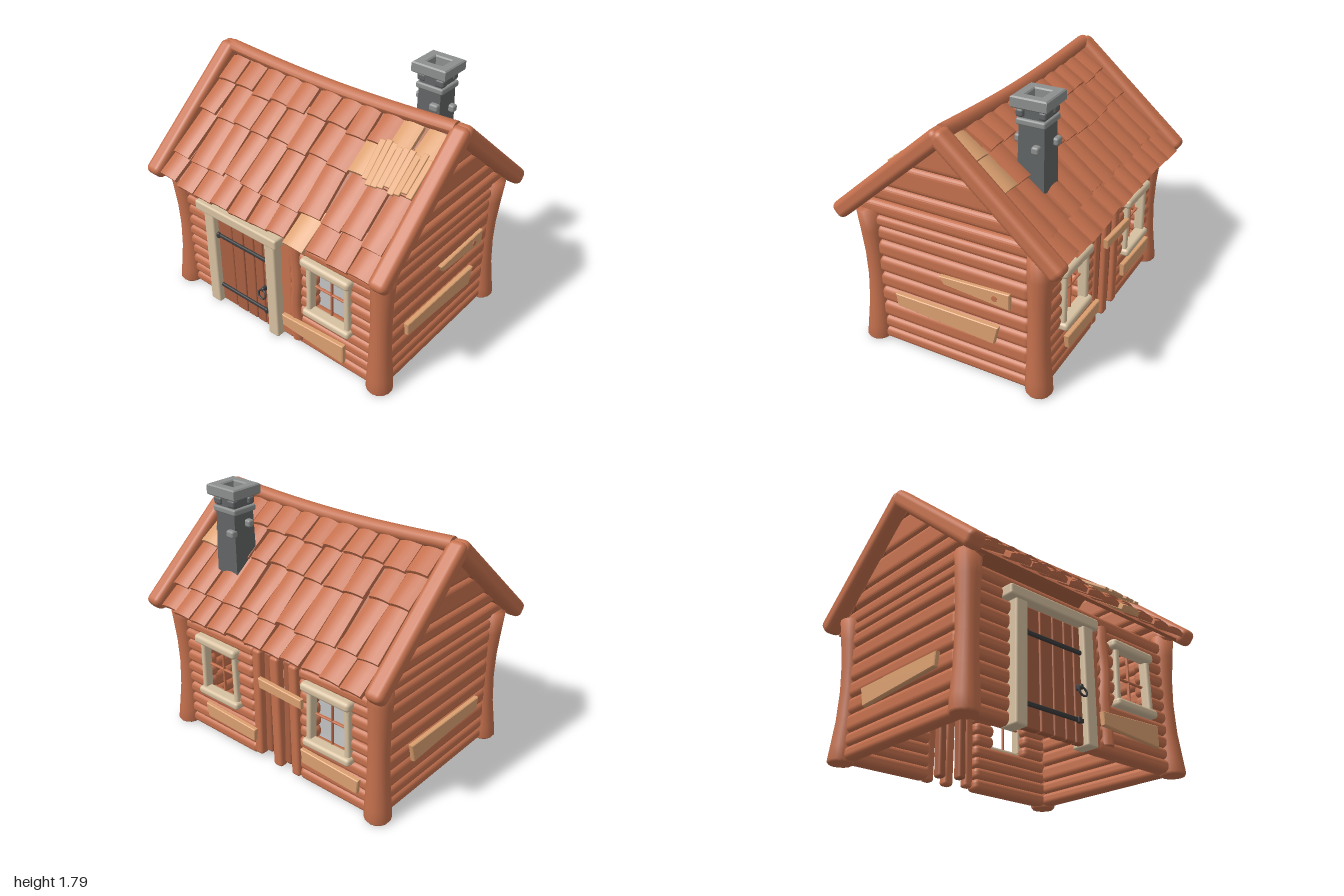
import * as THREE from 'three';
import { RoundedBoxGeometry } from 'three/addons/geometries/RoundedBoxGeometry.js';

const mat = (name, color, side = THREE.FrontSide) => {
  const m = new THREE.MeshStandardMaterial({ color, side });
  m.name = name;
  return m;
};

export function createModel() {
  const root = new THREE.Group();
  root.name = 'logCabin';
  const wood = mat('redWood', 0xc4704d);
  const dark = mat('darkWood', 0xa85f41);
  const cream = mat('paleFrameWood', 0xd6c0a0);
  const tan = mat('freshPlank', 0xdba070);
  const stone = mat('lightStone', 0x8c8f8e);
  const soot = mat('darkStone', 0x616465);
  const iron = mat('iron', 0x3c3c3e);

  let seed = 7;
  const rnd = (a = -1, b = 1) => {
    seed = (seed * 16807) % 2147483647;
    return a + (b - a) * (seed / 2147483647);
  };
  const add = (parent, name, geo, material, x = 0, y = 0, z = 0) => {
    const m = new THREE.Mesh(geo, material);
    m.name = name;
    m.position.set(x, y, z);
    parent.add(m);
    return m;
  };
  const block = (parent, name, w, h, d, material, x, y, z, r = 0.4) =>
    add(parent, name, new RoundedBoxGeometry(w, h, d, 3, Math.min(w, h, d) * r), material, x, y, z);
  // Move every vertex by a rule, then refresh the normals
  const warp = (geo, rule) => {
    const p = geo.attributes.position, v = new THREE.Vector3();
    for (let i = 0; i < p.count; i++) {
      rule(v.fromBufferAttribute(p, i));
      p.setXYZ(i, v.x, v.y, v.z);
    }
    geo.computeVertexNormals();
    return geo;
  };
  // Rough plank cut from a four-cornered outline
  const plank = (parent, name, pts, depth, material, z) =>
    add(parent, name, new THREE.ExtrudeGeometry(new THREE.Shape(pts.map(p => new THREE.Vector2(...p))),
      { depth, bevelEnabled: true, bevelSize: 0.005, bevelThickness: 0.005, bevelSegments: 1 }), material, 0, 0, z);

  // Corner posts, waisted and leaning out at both ends
  for (const sx of [-1, 1]) for (const sz of [-1, 1]) {
    const pts = [[0, 0], [0.075, 0], [0.087, 0.015], [0.084, 0.1], [0.073, 0.28], [0.068, 0.48],
      [0.07, 0.65], [0.077, 0.82], [0.08, 0.97], [0, 0.97]].map(p => new THREE.Vector2(...p));
    const geo = new THREE.LatheGeometry(pts, 14);
    const p = geo.attributes.position;
    for (let i = 0; i < p.count; i++) {
      const lean = 0.018 * Math.pow((p.getY(i) - 0.48) / 0.48, 2);
      p.setX(i, p.getX(i) + sx * lean);
      p.setZ(i, p.getZ(i) + sz * lean);
    }
    add(root, 'cornerPost', geo, wood, sx * 0.848, 0, sz * 0.584);
  }

  // Front and back log walls, split around door, slats and windows
  const rows = [0.01, 0.09, 0.17, 0.25, 0.335, 0.42, 0.5, 0.59, 0.68, 0.76, 0.83, 0.92];
  const logWall = (name, z, spans, windows) => {
    for (let i = 0; i < rows.length - 1; i++) {
      const y = (rows[i] + rows[i + 1]) / 2, h = rows[i + 1] - rows[i];
      let parts = y > 0.83 ? [[-0.83, 0.83]] : spans;
      if (y > 0.36 && y < 0.73) for (const c of windows)
        parts = parts.flatMap(([a, b]) => (a < c && b > c ? [[a, c - 0.145], [c + 0.145, b]] : [[a, b]]));
      for (const [a, b] of parts)
        block(root, name, b - a, h + 0.004, 0.11 + rnd() * 0.008, wood, (a + b) / 2, y, z);
    }
  };
  logWall('frontLog', 0.575, [[-0.83, -0.53], [0.13, 0.83]], [0.475]);
  logWall('backLog', -0.575, [[-0.83, -0.24], [0.15, 0.83]], [0.465, -0.5]);

  // Side log walls and gables trimmed to the roof slope
  const sideRows = [0.01, 0.09, 0.18, 0.3, 0.41, 0.52, 0.64, 0.76, 0.86, 0.935];
  const gableRows = [[0.935, 1.035], [1.05, 1.155], [1.155, 1.325], [1.325, 1.52]];
  for (const s of [-1, 1]) {
    for (let i = 0; i < sideRows.length - 1; i++) {
      const h = sideRows[i + 1] - sideRows[i];
      block(root, 'sideLog', 0.1 + rnd() * 0.008, h + 0.004, 1.1, wood, s * 0.845, sideRows[i] + h / 2, 0);
    }
    for (const [a, b] of gableRows) {
      const mid = (a + b) / 2;
      const half = y => (1.57 - y) / 0.87;
      const geo = warp(new RoundedBoxGeometry(0.1, b - a + 0.004, 1, 3, 0.04),
        v => { v.z *= 2 * half(mid + v.y); });
      add(root, 'gableLog', geo, wood, s * 0.845, mid, 0);
    }
    // Repair boards on the sides
    const g = new THREE.Group();
    g.name = 'sideBoards';
    g.rotation.y = s * Math.PI / 2;
    root.add(g);
    const b = pts => plank(g, 'sideBoard', pts.map(([z, y]) => [-z * s, y]), 0.025, tan, 0.892);
    b([[0.4, 0.41], [0.39, 0.33], [-0.31, 0.29], [-0.34, 0.41]]);
    if (s > 0) {
      b([[0.06, 0.655], [0.03, 0.61], [-0.42, 0.575], [-0.42, 0.675]]);
      const knot = add(g, 'boardKnot', new THREE.CylinderGeometry(0.02, 0.02, 0.006, 7), wood, 0.325, 0.625, 0.923);
      knot.rotation.x = Math.PI / 2;
    }
  }

  // Windows
  const makeWindow = (x, s) => {
    const g = new THREE.Group();
    g.name = 'window';
    g.position.set(x, 0, 0);
    g.rotation.y = s > 0 ? 0 : Math.PI;
    root.add(g);
    block(g, 'windowHead', 0.39, 0.065, 0.09, cream, -0.01, 0.742, 0.635).rotation.z = -0.02;
    block(g, 'windowSill', 0.38, 0.055, 0.09, cream, 0, 0.352, 0.635);
    for (const e of [-1, 1])
      block(g, 'windowJamb', 0.04, 0.36, 0.07, cream, e * 0.152, 0.545, 0.62).rotation.z = e * 0.02;
    block(g, 'windowBar', 0.014, 0.35, 0.02, wood, 0, 0.545, 0.6);
    block(g, 'windowBar', 0.29, 0.014, 0.02, wood, 0, 0.545, 0.6);
  };
  makeWindow(0.475, 1);
  makeWindow(0.465, -1);
  makeWindow(-0.5, -1);

  // Door with frame and ironwork
  const edges = [-0.495, -0.355, -0.25, -0.155, -0.075, -0.005];
  for (let i = 0; i < 5; i++)
    block(root, 'doorPlank', edges[i + 1] - edges[i] - 0.005, 0.75, 0.05, dark,
      (edges[i] + edges[i + 1]) / 2, 0.385, 0.62 + rnd() * 0.004, 0.2);
  block(root, 'doorJamb', 0.09, 0.77, 0.13, cream, -0.53, 0.385, 0.62, 0.15).rotation.z = -0.008;
  block(root, 'doorJamb', 0.088, 0.77, 0.13, cream, 0.026, 0.385, 0.62, 0.15).rotation.z = 0.008;
  block(root, 'doorLintel', 0.73, 0.072, 0.15, cream, -0.265, 0.795, 0.63, 0.2);
  for (const y of [0.15, 0.585]) {
    block(root, 'doorStrap', 0.47, 0.028, 0.02, iron, -0.252, y, 0.652);
    block(root, 'strapEnd', 0.03, 0.042, 0.025, iron, y < 0.3 ? -0.055 : -0.475, y, 0.655);
  }
  add(root, 'doorRing', new THREE.TorusGeometry(0.032, 0.007, 6, 18), iron, -0.052, 0.318, 0.69).rotation.x = -0.25;
  block(root, 'ringMount', 0.025, 0.035, 0.05, iron, -0.052, 0.352, 0.665);

  // Upright timbers beside the door
  block(root, 'uprightBoard', 0.095, 0.82, 0.1, wood, 0.115, 0.42, 0.58, 0.2);
  const upright = warp(new THREE.CylinderGeometry(0.038, 0.042, 0.78, 10, 8), v => {
    v.x += 0.008 * Math.sin(v.y * 14);
  });
  add(root, 'uprightLog', upright, wood, 0.207, 0.445, 0.625);
  plank(root, 'frontBoard', [[0.125, 0.235], [0.13, 0.16], [0.63, 0.125], [0.63, 0.26]], 0.025, tan, 0.66);

  // Back slats and boards
  [[0.125, 0.07, 0.8], [0.045, 0.06, 0.76], [-0.04, 0.075, 0.82], [-0.125, 0.06, 0.78], [-0.2, 0.07, 0.82]]
    .forEach(([x, w, h], i) => block(root, 'backSlat', w, h, 0.07, i % 2 ? dark : wood,
      x, 0.83 - h / 2, i % 2 ? -0.575 : -0.6, 0.3).rotation.z = rnd() * 0.02);
  const back = new THREE.Group();
  back.name = 'backBoards';
  back.rotation.y = Math.PI;
  root.add(back);
  plank(back, 'backBoard', [[-0.6, 0.25], [-0.58, 0.16], [-0.14, 0.15], [-0.13, 0.23]], 0.025, tan, 0.635);
  plank(back, 'backBoard', [[0.29, 0.27], [0.3, 0.18], [0.74, 0.16], [0.75, 0.25]], 0.025, tan, 0.635);
  plank(back, 'backBoard', [[-0.06, 0.66], [-0.05, 0.6], [0.3, 0.585], [0.3, 0.64]], 0.025, tan, 0.645);

  // Roof slopes: local z runs down the slope, local y points outward
  const pitch = Math.atan(0.87), cosP = Math.cos(pitch);
  const tileRows = [[0.03, 0.185], [0.14, 0.355], [0.31, 0.615], [0.56, 0.76]];
  const makeTile = (parent, w, len, material, x, n, u, tilt) => {
    const geo = warp(new THREE.BoxGeometry(w, 0.028, len, 4, 1, 2), v => {
      v.y += 0.016 * (1 - Math.pow(2 * v.x / w, 2)) - 0.008;
    });
    const t = add(parent, 'roofTile', geo, material, x, n, u);
    t.rotation.set(-tilt, rnd() * 0.045, rnd() * 0.03);
    return t;
  };
  for (const s of [1, -1]) {
    const side = new THREE.Group();
    side.name = s > 0 ? 'frontRoof' : 'backRoof';
    side.rotation.y = s > 0 ? 0 : Math.PI;
    root.add(side);
    const slope = new THREE.Group();
    slope.name = 'roofSlope';
    slope.position.y = 1.6;
    slope.rotation.x = pitch;
    side.add(slope);
    add(slope, 'roofDeck', new THREE.BoxGeometry(1.78, 0.02, 0.94), dark, 0, -0.035, 0.5);
    tileRows.forEach(([z0, z1], r) => {
      for (let c = 0; c < 11; c++) {
        const x = -0.79 + c * 0.159 + rnd() * 0.012;
        const end = z1 + rnd() * 0.012, len = (end - z0) / cosP;
        const fresh = s > 0 ? (r === 3 && c === 7) || (r === 1 && c === 8) || (r === 0 && c > 8)
          : c === 10 && r < 2;
        makeTile(slope, 0.15 + rnd() * 0.008, len, fresh ? tan : wood, x * s, 0.008,
          (z0 + end) / 2 / cosP, 0.03 / len);
      }
    });
    // Patch of narrow slats on the front
    if (s > 0) for (let i = 0; i < 9; i++) {
      const m = block(slope, 'patchSlat', 0.04, 0.02, 0.29 + rnd() * 0.03, tan,
        0.54 + i * 0.041, 0.05, 0.34 + rnd() * 0.015, 0.25);
      m.rotation.set(-0.13, 0.12 - i * 0.012, rnd() * 0.15);
    }
    // Barge logs at both gable ends
    for (const e of [-1, 1]) {
      const m = block(slope, 'bargeLog', 0.122, 0.112, 1.05, wood, e * 0.937, 0.006, 0.492, 0.35);
      m.rotation.y = e * 0.004;
    }
  }

  // Sagging ridge log
  const ridge = warp(new THREE.CylinderGeometry(0.047, 0.047, 1.8, 10, 16).rotateZ(Math.PI / 2),
    v => { v.y -= 0.035 * Math.cos(v.x * Math.PI / 1.8); });
  add(root, 'ridgeLog', ridge, wood, 0, 1.622, 0);

  // Chimney: flared shaft, collar, loose stones and hollow cap
  const chimney = new THREE.Group();
  chimney.name = 'chimney';
  chimney.position.set(0.507, 0, -0.388);
  root.add(chimney);
  add(chimney, 'shaft', warp(new THREE.BoxGeometry(0.17, 0.52, 0.17, 1, 3, 1), v => {
    const k = 1 - v.y * 0.25;
    v.x *= k; v.z *= k;
  }), soot, 0, 1.46, 0);
  block(chimney, 'collar', 0.2, 0.042, 0.19, stone, 0, 1.632, 0, 0.3);
  const ring = (w, h) => {
    const sq = (P, k) => {
      const p = new P();
      p.moveTo(-k, -k); p.lineTo(k, -k); p.lineTo(k, k); p.lineTo(-k, k); p.closePath();
      return p;
    };
    const shape = sq(THREE.Shape, w);
    shape.holes.push(sq(THREE.Path, 0.06));
    return new THREE.ExtrudeGeometry(shape, { depth: h, bevelEnabled: true, bevelSize: 0.008,
      bevelThickness: 0.008, bevelSegments: 1 }).rotateX(-Math.PI / 2);
  };
  add(chimney, 'cap', ring(0.108, 0.055), stone, 0, 1.727, 0).scale.x = 1.07;
  add(chimney, 'capFloor', new THREE.BoxGeometry(0.15, 0.01, 0.15), soot, 0, 1.722, 0);
  for (const [x, y, z] of [[0.07, 1.685, 0.07], [-0.07, 1.685, 0.06], [0.06, 1.685, -0.07], [-0.06, 1.685, -0.07],
    [0.05, 1.52, 0.09], [-0.06, 1.49, -0.09], [-0.09, 1.54, 0.03], [0.09, 1.48, -0.04]])
    block(chimney, 'looseStone', 0.065, 0.05, 0.05, y > 1.6 ? soot : stone, x, y, z, 0.3);

  return root;
}
